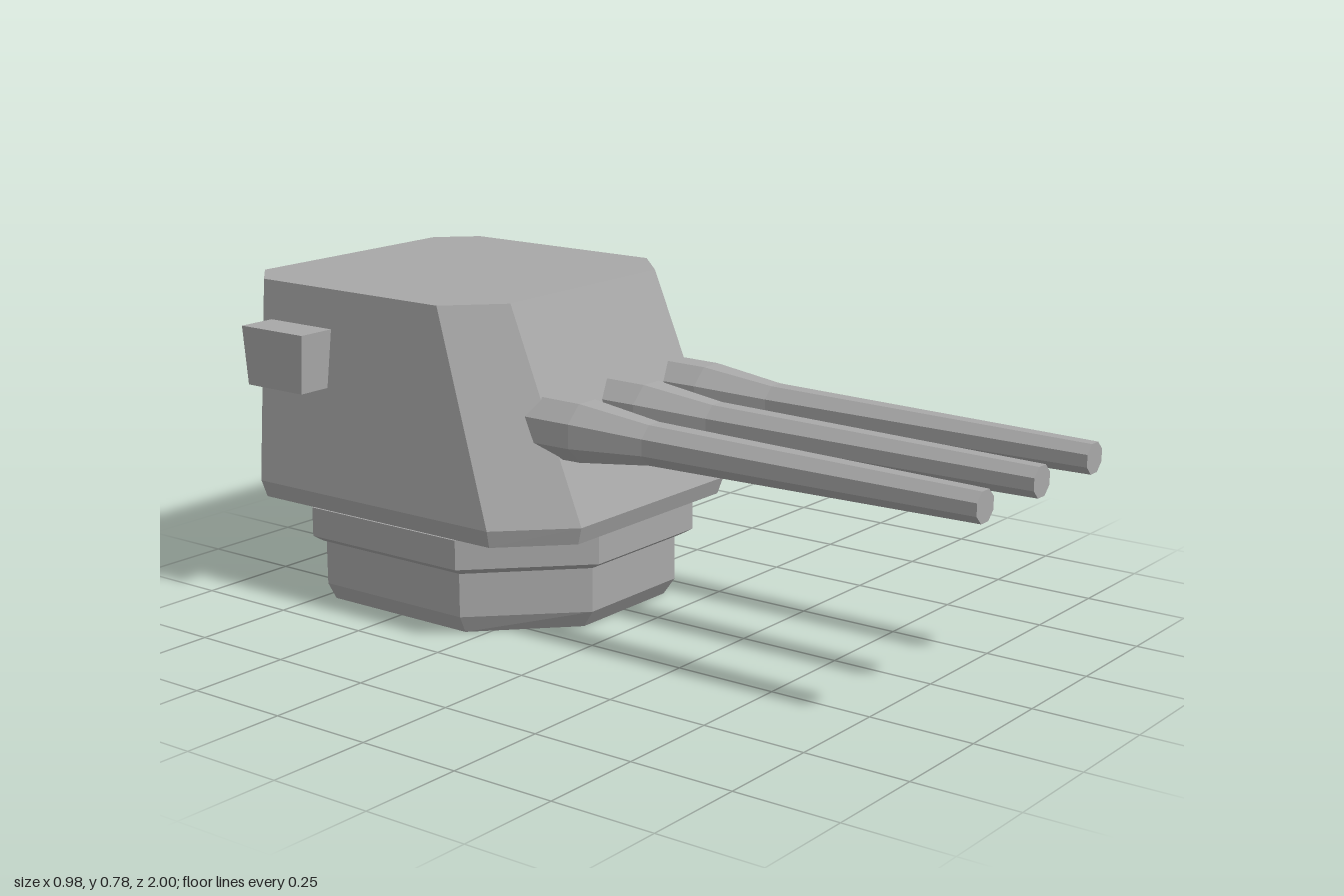
import * as THREE from 'three';

const grey = new THREE.MeshStandardMaterial({ color: 0xa8a8a8, flatShading: true });
grey.name = 'grey paint';

// Closed solid through stacked rings, bottom to top: each ring is { y, pts: [[x, z], ...] }
function loft(name, rings) {
  const pos = [];
  const tri = (...corners) => corners.forEach((p) => pos.push(...p));
  const loops = rings.map(({ y, pts }) => pts.map(([x, z]) => [x, y, z]));
  const n = loops[0].length;
  for (let k = 0; k < loops.length - 1; k++) {
    const lo = loops[k], hi = loops[k + 1];
    for (let i = 0; i < n; i++) {
      const j = (i + 1) % n;
      tri(lo[i], lo[j], hi[j]);
      tri(lo[i], hi[j], hi[i]);
    }
  }
  const bottom = loops[0], top = loops[loops.length - 1];
  for (let i = 1; i < n - 1; i++) {
    tri(bottom[0], bottom[i + 1], bottom[i]);
    tri(top[0], top[i], top[i + 1]);
  }
  const geo = new THREE.BufferGeometry();
  geo.setAttribute('position', new THREE.Float32BufferAttribute(pos, 3));
  geo.computeVertexNormals();
  const mesh = new THREE.Mesh(geo, grey);
  mesh.name = name;
  return mesh;
}

// Rectangle with cut corners: half width, half front edge, half back edge, z of front, side ends and back
function octagon(y, w, f, b, zFront, zSideFront, zSideBack, zBack) {
  return {
    y,
    pts: [
      [-f, zFront], [f, zFront], [w, zSideFront], [w, zSideBack],
      [b, zBack], [-b, zBack], [-w, zSideBack], [-w, zSideFront],
    ],
  };
}

// Eight-sided barrel along z with flats at top and bottom
function barrel(x) {
  const apothems = [[-0.22, 0.07], [-0.02, 0.068], [0.17, 0.046], [1, 0.034]];
  const k = 1 / Math.cos(Math.PI / 8);
  const profile = [
    new THREE.Vector2(0, -0.22),
    ...apothems.map(([z, r]) => new THREE.Vector2(r * k, z)),
    new THREE.Vector2(0, 1),
  ];
  const geo = new THREE.LatheGeometry(profile, 8, Math.PI / 8);
  geo.rotateX(Math.PI / 2);
  const mesh = new THREE.Mesh(geo, grey);
  mesh.position.set(x, 0.502, 0);
  mesh.name = 'gunBarrel';
  return mesh;
}

export function createModel() {
  const turret = new THREE.Group();
  turret.name = 'gunTurret';

  // Pedestal with a chamfered foot
  turret.add(loft('pedestal', [
    octagon(0, 0.355, 0.155, 0.155, -0.1, -0.295, -0.715, -0.92),
    octagon(0.043, 0.378, 0.16, 0.16, -0.07, -0.29, -0.718, -0.938),
    octagon(0.16, 0.378, 0.16, 0.16, -0.07, -0.29, -0.718, -0.938),
  ]));

  // Wider turning ring
  turret.add(loft('turningRing', [
    octagon(0.155, 0.392, 0.172, 0.172, -0.06, -0.275, -0.715, -0.935),
    octagon(0.172, 0.418, 0.182, 0.182, -0.032, -0.265, -0.722, -0.957),
    octagon(0.243, 0.418, 0.182, 0.182, -0.032, -0.265, -0.722, -0.957),
  ]));

  // Armoured gun house with sloping sides
  turret.add(loft('gunHouse', [
    octagon(0.243, 0.413, 0.27, 0.31, -0.022, -0.165, -0.88, -0.99),
    octagon(0.285, 0.426, 0.275, 0.317, -0.008, -0.16, -0.885, -1),
    octagon(0.776, 0.389, 0.27, 0.303, -0.213, -0.33, -0.885, -0.972),
  ]));

  // Sighting boxes on both sides, slightly narrower below
  for (const side of [-1, 1]) {
    const a = Math.min(side * 0.36, side * 0.492);
    const b = Math.max(side * 0.36, side * 0.492);
    const ring = (y, front, back) => ({ y, pts: [[a, front], [b, front], [b, back], [a, back]] });
    turret.add(loft(side > 0 ? 'leftSightBox' : 'rightSightBox', [
      ring(0.542, -0.667, -0.842),
      ring(0.682, -0.659, -0.857),
    ]));
  }

  // Three guns
  for (const x of [-0.237, 0, 0.237]) turret.add(barrel(x));

  return turret;
}
